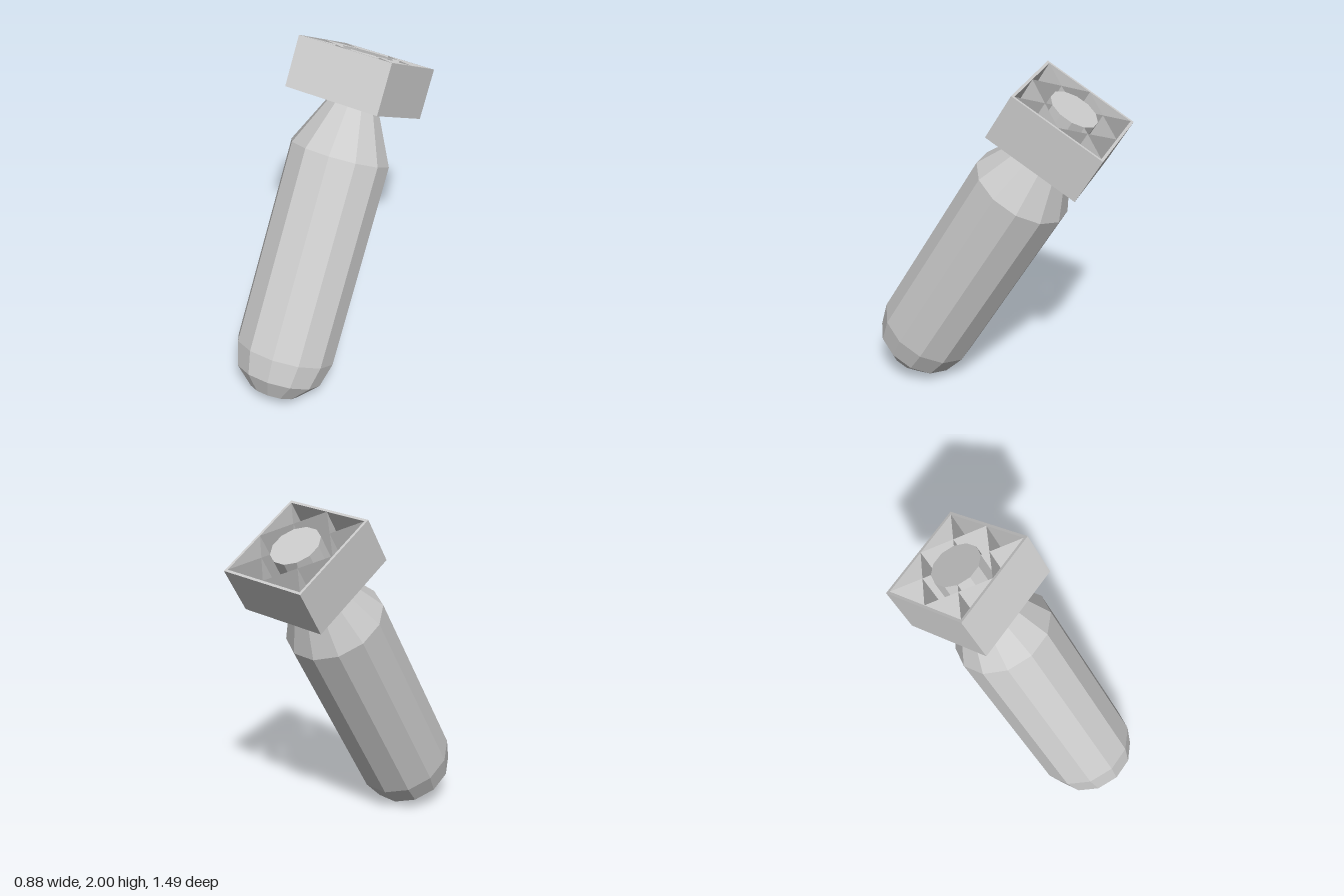
import * as THREE from 'three';

const R = 0.295; // body radius, also half the width of the tail box
const material = new THREE.MeshStandardMaterial({ color: 0xcccccc, flatShading: true });
const sheet = new THREE.MeshStandardMaterial({ color: 0xcccccc, flatShading: true, side: THREE.DoubleSide });

function add(parent, name, geometry, mat = material) {
  const mesh = new THREE.Mesh(geometry, mat);
  mesh.name = name;
  parent.add(mesh);
  return mesh;
}

export function createModel() {
  const model = new THREE.Group();
  model.name = 'finnedBomb';

  // Built upright with the tail end at y = 0, then tilted nose down
  const bomb = new THREE.Group();
  bomb.name = 'bomb';
  bomb.rotation.set(-Math.PI / 6, Math.PI / 12, 0, 'YXZ');
  bomb.position.set(-0.086, 1.852, -0.4225);
  model.add(bomb);

  // Body: round nose, straight barrel, tapered shoulder, thin tail
  const noseY = -1.8;
  const profile = [];
  for (let i = 0; i <= 3; i++) {
    const a = (i * Math.PI) / 6;
    profile.push(new THREE.Vector2(i ? R * Math.sin(a) : 0, noseY - R * Math.cos(a)));
  }
  profile.push(
    new THREE.Vector2(R, -2 * R),
    new THREE.Vector2(R / 2, -R),
    new THREE.Vector2(R / 2, 0),
    new THREE.Vector2(0, 0)
  );
  add(bomb, 'body', new THREE.LatheGeometry(profile, 12, Math.PI / 12));

  // Square tail box, open at both ends
  const wall = 0.016;
  const inner = R - wall;
  const square = (h, Type) => new Type([[-h, -h], [h, -h], [h, h], [-h, h]].map(([x, y]) => new THREE.Vector2(x, y)));
  const outline = square(R, THREE.Shape);
  outline.holes.push(square(inner, THREE.Path));
  const box = new THREE.ExtrudeGeometry(outline, { depth: R, bevelEnabled: false });
  box.rotateX(Math.PI / 2);
  add(bomb, 'tailBox', box);

  // Corner fins from the tail to the box, and baffles joining the wall middles
  const finStart = 0.135;
  const finEnd = inner * Math.SQRT2;
  for (let i = 0; i < 4; i++) {
    const angle = Math.PI / 4 + (i * Math.PI) / 2;

    const fin = new THREE.PlaneGeometry(finEnd - finStart, R);
    fin.translate((finStart + finEnd) / 2, -R / 2, 0);
    add(bomb, 'cornerFin', fin, sheet).rotation.y = angle;

    const baffle = new THREE.PlaneGeometry(inner * Math.SQRT2, R);
    baffle.rotateY(Math.PI / 2);
    baffle.translate(inner / Math.SQRT2, -R / 2, 0);
    add(bomb, 'baffle', baffle, sheet).rotation.y = angle;
  }

  return model;
}
